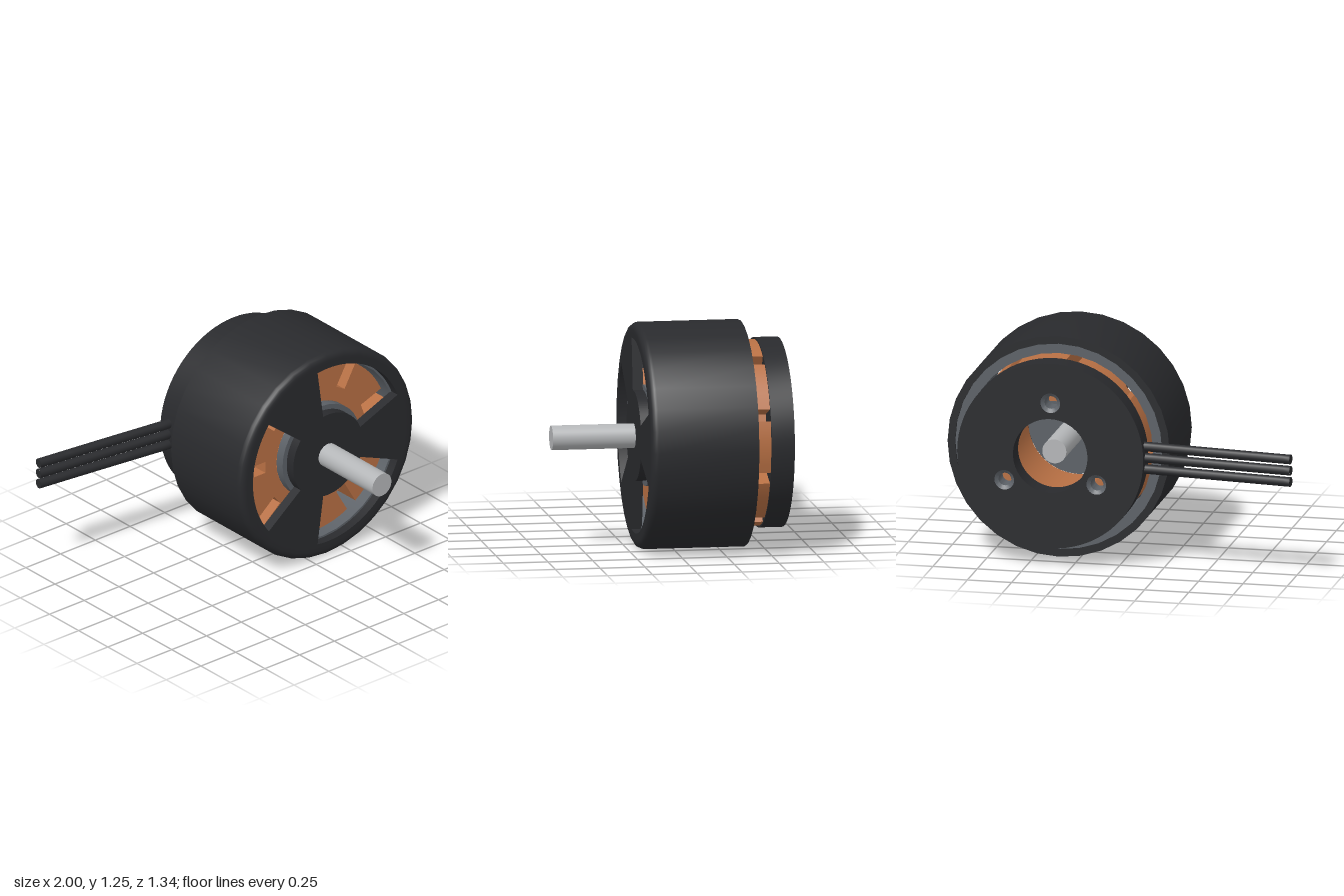
import * as THREE from 'three';
import { toCreasedNormals } from 'three/addons/utils/BufferGeometryUtils.js';

const mat = (color) => new THREE.MeshStandardMaterial({ color });
const black = mat(0x292a2d), copper = mat(0xb87044), grey = mat(0x5c6167), steel = mat(0xb4b6b8);
const rad = THREE.MathUtils.degToRad;

function add(group, name, geometry, material) {
  const mesh = new THREE.Mesh(toCreasedNormals(geometry, rad(30)), material);
  mesh.name = name;
  group.add(mesh);
  return mesh;
}

// Solid of revolution about z; profile points are [radius, z]
function turned(points, segments = 32) {
  return new THREE.LatheGeometry(points.map(([r, z]) => new THREE.Vector2(r, z)), segments).rotateX(Math.PI / 2);
}

// Plain tube between two radii and two z positions
const ring = (r0, r1, z0, z1, segments) => turned([[r0, z0], [r1, z0], [r1, z1], [r0, z1], [r0, z0]], segments);

// Shape extruded from z0 to z1
function slab(shape, z0, z1) {
  return new THREE.ExtrudeGeometry(shape, { depth: z1 - z0, bevelEnabled: false, curveSegments: 36 }).translate(0, 0, z0);
}

function disc(r) {
  const shape = new THREE.Shape();
  shape.absarc(0, 0, r, 0, Math.PI * 2, false);
  return shape;
}

function roundHole(x, y, r) {
  const path = new THREE.Path();
  path.absarc(x, y, r, 0, Math.PI * 2, true);
  return path;
}

// Bell face with three sector windows
function lidShape() {
  const shape = disc(0.57);
  for (const centre of [60, 180, 300]) {
    const a = rad(centre - 38), b = rad(centre + 38);
    const window = new THREE.Path();
    window.absarc(0, 0, 0.54, a, b, false);
    window.absarc(0, 0, 0.25, b, a, true);
    window.closePath();
    shape.holes.push(window);
  }
  return shape;
}

// Wound stator with nine open slots round the edge
function statorShape() {
  const R = 0.515, inner = 0.36, half = 0.034, count = 9;
  const shape = new THREE.Shape();
  const open = Math.asin(half / R), floor = Math.atan(half / inner), r = Math.hypot(half, inner);
  for (let i = 0; i < count; i++) {
    const a = rad(20 + i * 40), next = a + rad(40);
    for (const s of [-1, 1]) {
      const x = r * Math.cos(a + s * floor), y = r * Math.sin(a + s * floor);
      if (i === 0 && s === -1) shape.moveTo(x, y);
      else shape.lineTo(x, y);
    }
    for (let k = 0; k <= 6; k++) {
      const t = THREE.MathUtils.lerp(a + open, next - open, k / 6);
      shape.lineTo(R * Math.cos(t), R * Math.sin(t));
    }
  }
  shape.closePath();
  shape.holes.push(roundHole(0, 0, 0.28));
  return shape;
}

export function createModel() {
  const model = new THREE.Group();
  model.name = 'electricMotor';
  const motor = new THREE.Group();
  motor.name = 'motor';
  motor.position.set(0.37, 0.627, 0);
  model.add(motor);

  // Rotating bell: wall with rounded front edge, then the windowed face
  const wall = [[0.585, -0.39], [0.627, -0.39], [0.627, 0.168]];
  for (let i = 1; i <= 5; i++) {
    const t = (i / 5) * Math.PI / 2;
    wall.push([0.587 + 0.04 * Math.cos(t), 0.168 + 0.04 * Math.sin(t)]);
  }
  wall.push([0.565, 0.208], [0.565, 0.15], [0.585, 0.15], [0.585, -0.39]);
  add(motor, 'bellWall', turned(wall), black);
  add(motor, 'bellFace', slab(lidShape(), 0.15, 0.208), black);
  add(motor, 'magnetRing', ring(0.53, 0.586, -0.38, 0.155), grey);
  add(motor, 'hubCollar', ring(0.06, 0.28, 0.1, 0.152), grey);

  // Copper stator
  add(motor, 'stator', slab(statorShape(), -0.476, 0.1), copper);

  // Shaft
  const shaft = new THREE.CylinderGeometry(0.068, 0.068, 1.17, 32).rotateX(Math.PI / 2).translate(0, 0, 0.085);
  add(motor, 'shaft', shaft, steel);

  // Mounting plate with centre hole and three screw holes
  const plate = disc(0.525);
  plate.holes.push(roundHole(0, 0, 0.21));
  const screws = [90, 210, 330].map((d) => [0.3 * Math.cos(rad(d)), 0.3 * Math.sin(rad(d))]);
  for (const [x, y] of screws) plate.holes.push(roundHole(x, y, 0.056));
  add(motor, 'mountingPlate', slab(plate, -0.605, -0.475), black);
  for (const [x, y] of screws) {
    const bush = turned([[0.057, -0.48], [0.057, -0.602], [0.036, -0.585], [0.036, -0.48], [0.057, -0.48]].reverse(), 20);
    add(motor, 'screwBush', bush, grey).material.side = THREE.DoubleSide;
    motor.children.at(-1).position.set(x, y, 0);
  }

  // Three lead wires
  for (const dy of [-0.064, 0, 0.064]) {
    const y = 0.63 + dy;
    const points = [[-0.08, -0.54], [-0.17, -0.54], [-0.24, -0.549], [-0.6, -0.596], [-0.997, -0.645]];
    const path = new THREE.CatmullRomCurve3(points.map(([x, z]) => new THREE.Vector3(x, y, z)));
    add(model, 'leadWire', new THREE.TubeGeometry(path, 24, 0.027, 14), black);
    const tip = add(model, 'wireEnd', new THREE.CircleGeometry(0.027, 14), black);
    tip.position.copy(path.getPoint(1));
    tip.lookAt(path.getPoint(1).add(path.getTangent(1)));
  }
  return model;
}
